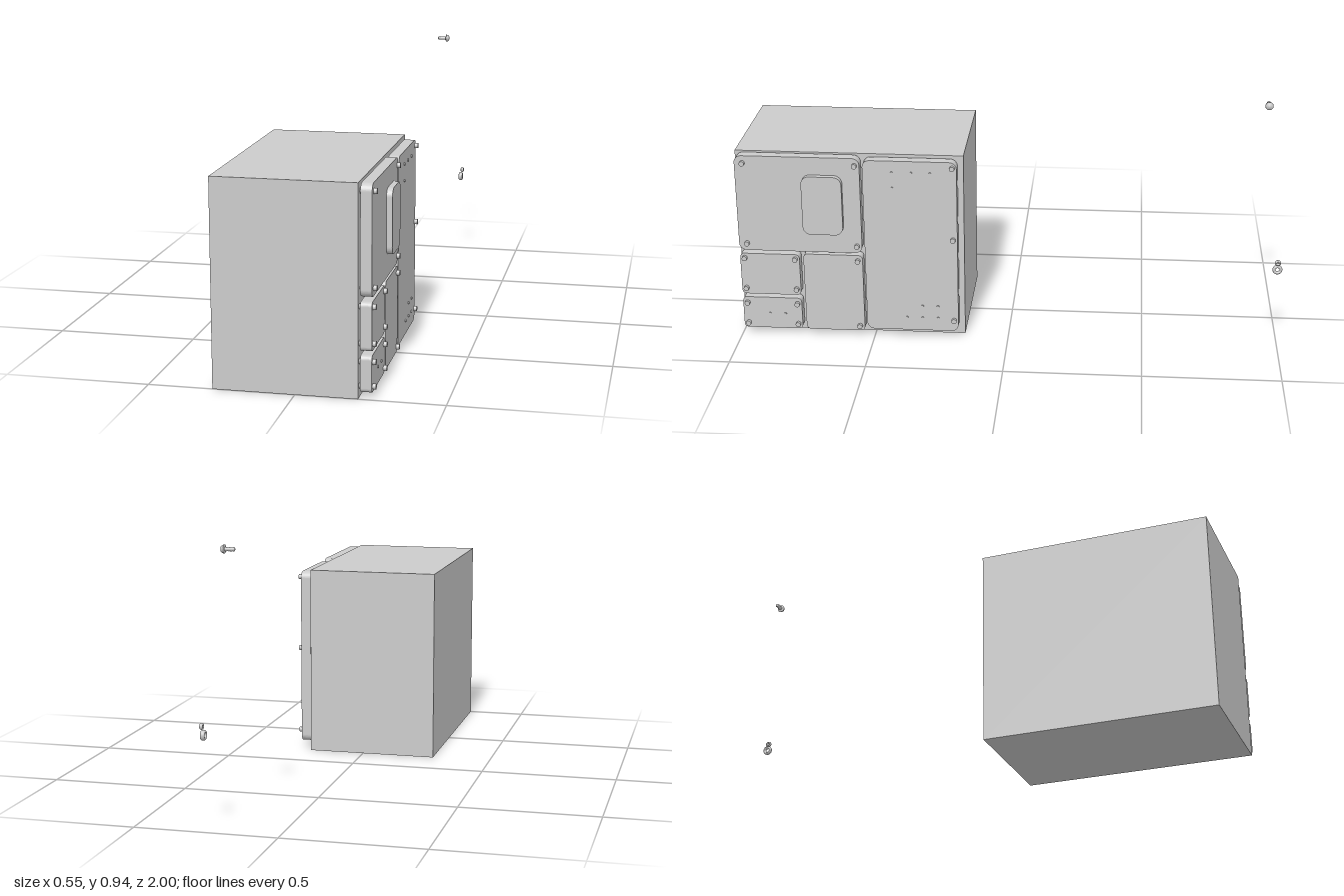
import * as THREE from 'three';

export function createModel() {
  const group = new THREE.Group();
  const mat = new THREE.MeshStandardMaterial({ color: 0xcccccc });
  const add = (name, geo, x = 0, y = 0, z = 0) => {
    const m = new THREE.Mesh(geo, mat);
    m.name = name;
    m.position.set(x, y, z);
    group.add(m);
    return m;
  };

  // Rounded plate in the z-y plane, extruded from x0 to x1
  function plate(name, x0, x1, z0, z1, y0, y1, r) {
    const s = new THREE.Shape();
    const a = -z1, b = -z0;
    s.absarc(b - r, y0 + r, r, -Math.PI / 2, 0);
    s.absarc(b - r, y1 - r, r, 0, Math.PI / 2);
    s.absarc(a + r, y1 - r, r, Math.PI / 2, Math.PI);
    s.absarc(a + r, y0 + r, r, Math.PI, Math.PI * 1.5);
    s.closePath();
    const g = new THREE.ExtrudeGeometry(s, { depth: x1 - x0, bevelEnabled: false, curveSegments: 8 });
    g.rotateY(Math.PI / 2);
    add(name, g, x0);
  }

  // Cylinder lying along x
  const rod = (name, x0, x1, r, y, z, n = 20) =>
    add(name, new THREE.CylinderGeometry(r, r, x1 - x0, n).rotateZ(-Math.PI / 2), (x0 + x1) / 2, y, z);

  // Lathe profile [radius, along x], turned about the x axis
  const turned = (name, pts, x, y, z) =>
    add(name, new THREE.LatheGeometry(pts.map(p => new THREE.Vector2(...p)), 24).rotateZ(-Math.PI / 2), x, y, z);

  // Main housing
  add('housing', new THREE.BoxGeometry(0.49, 0.717, 0.837), -0.034, 0.3585, 0.5815);

  // Cover panels on the side: z0, z1, y0, y1, corner radius
  const panels = {
    upperPanel: [0.537, 0.995, 0.339, 0.713, 0.027],
    tallPanel: [0.184, 0.527, 0.03, 0.707, 0.027],
    middlePanel: [0.537, 0.758, 0.02, 0.329, 0.016],
    smallUpperPanel: [0.773, 0.995, 0.16, 0.325, 0.016],
    smallLowerPanel: [0.773, 0.995, 0.02, 0.146, 0.016],
  };
  for (const [name, p] of Object.entries(panels)) plate(name, 0.217, 0.255, ...p);

  // Raised window cover
  plate('windowCover', 0.255, 0.275, 0.602, 0.75, 0.417, 0.645, 0.03);

  // Panel bolts at [z, y]
  const bolts = [
    [0.965, 0.685], [0.555, 0.685], [0.965, 0.367], [0.555, 0.367],
    [0.555, 0.307], [0.555, 0.04],
    [0.2, 0.685], [0.2, 0.403], [0.2, 0.074],
  ];
  for (const z of [0.978, 0.789])
    for (const y of [0.307, 0.184, 0.123, 0.04]) bolts.push([z, y]);
  for (const [z, y] of bolts) rod('panelBolt', 0.211, 0.267, 0.0095, y, z);

  // Small indicator studs
  const studs = [
    [0.318, 0.13], [0.26, 0.13], [0.377, 0.081], [0.318, 0.081], [0.26, 0.081],
    [0.895, 0.08], [0.837, 0.08],
    [0.28, 0.662], [0.35, 0.662], [0.42, 0.662], [0.42, 0.602],
  ];
  for (const [z, y] of studs) rod('stud', 0.25, 0.259, 0.005, y, z, 12);

  // Loose screw: domed head and ribbed shank
  const sy = 0.93, sz = -0.922;
  turned('screwHead', [[0, 0], [0.0145, 0], [0.0145, 0.003], [0.013, 0.008], [0.009, 0.012], [0, 0.014]], 0.194, sy, sz);
  const thread = [[0, 0], [0.005, 0]];
  for (let i = 0; i < 8; i++) thread.push([0.0075, 0.0025 + i * 0.004], [0.0055, 0.0045 + i * 0.004]);
  thread.push([0.0055, 0.036]);
  turned('screwShank', thread, 0.16, sy, sz);

  // Loose pair of rings
  const ring = (name, R, t, x, y) => {
    const m = add(name, new THREE.TorusGeometry(R, t, 12, 28).rotateY(Math.PI / 2), x, y, -0.982);
    m.scale.x = 1.5;
  };
  ring('largeRing', 0.0125, 0.0055, 0.256, 0.324);
  ring('smallRing', 0.007, 0.004, 0.262, 0.353);

  return group;
}
